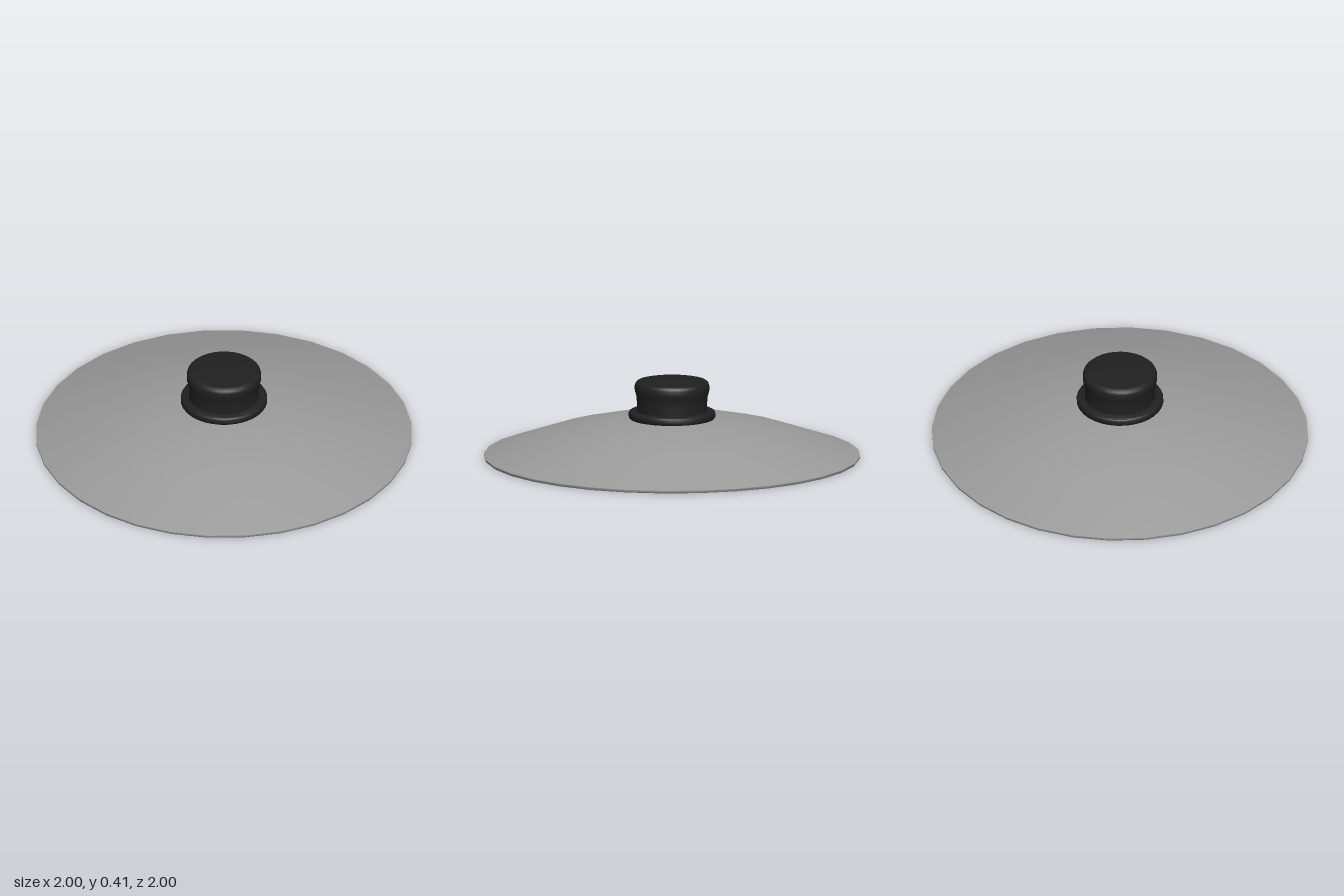
import * as THREE from 'three';
import { toCreasedNormals } from 'three/addons/utils/BufferGeometryUtils.js';

// Revolve a [radius, height] profile, keeping sharp rims crisp
function turned(name, profile, sides, material) {
  const points = profile.map(([r, y]) => new THREE.Vector2(r, y));
  const geometry = toCreasedNormals(new THREE.LatheGeometry(points, sides), 0.7);
  const mesh = new THREE.Mesh(geometry, material);
  mesh.name = name;
  return mesh;
}

export function createModel() {
  const metal = new THREE.MeshStandardMaterial({ color: 0x9a9a9a });
  metal.name = 'grey metal';
  const plastic = new THREE.MeshStandardMaterial({ color: 0x202020 });
  plastic.name = 'black plastic';

  const lid = new THREE.Group();
  lid.name = 'panLid';

  // Thin hollow dome: underside outwards, round the rim, back over the top
  lid.add(turned('dome', [
    [0, 0.207], [0.335, 0.195], [0.65, 0.12], [0.985, 0],
    [0.995, 0], [1, 0.007], [1, 0.015],
    [0.65, 0.135], [0.335, 0.21], [0, 0.222],
  ], 32, metal));

  // Flange under the knob
  lid.add(turned('knobFlange', [
    [0, 0.214], [0.225, 0.214], [0.23, 0.222], [0.23, 0.243],
    [0.226, 0.251], [0.217, 0.255], [0, 0.255],
  ], 32, plastic));

  // Knob with a waisted neck and rounded top edge
  lid.add(turned('knob', [
    [0, 0.25], [0.187, 0.25], [0.187, 0.3], [0.189, 0.33], [0.195, 0.352],
    [0.198, 0.365], [0.198, 0.39], [0.194, 0.403], [0.185, 0.412],
    [0.172, 0.415], [0, 0.415],
  ], 32, plastic));

  return lid;
}
